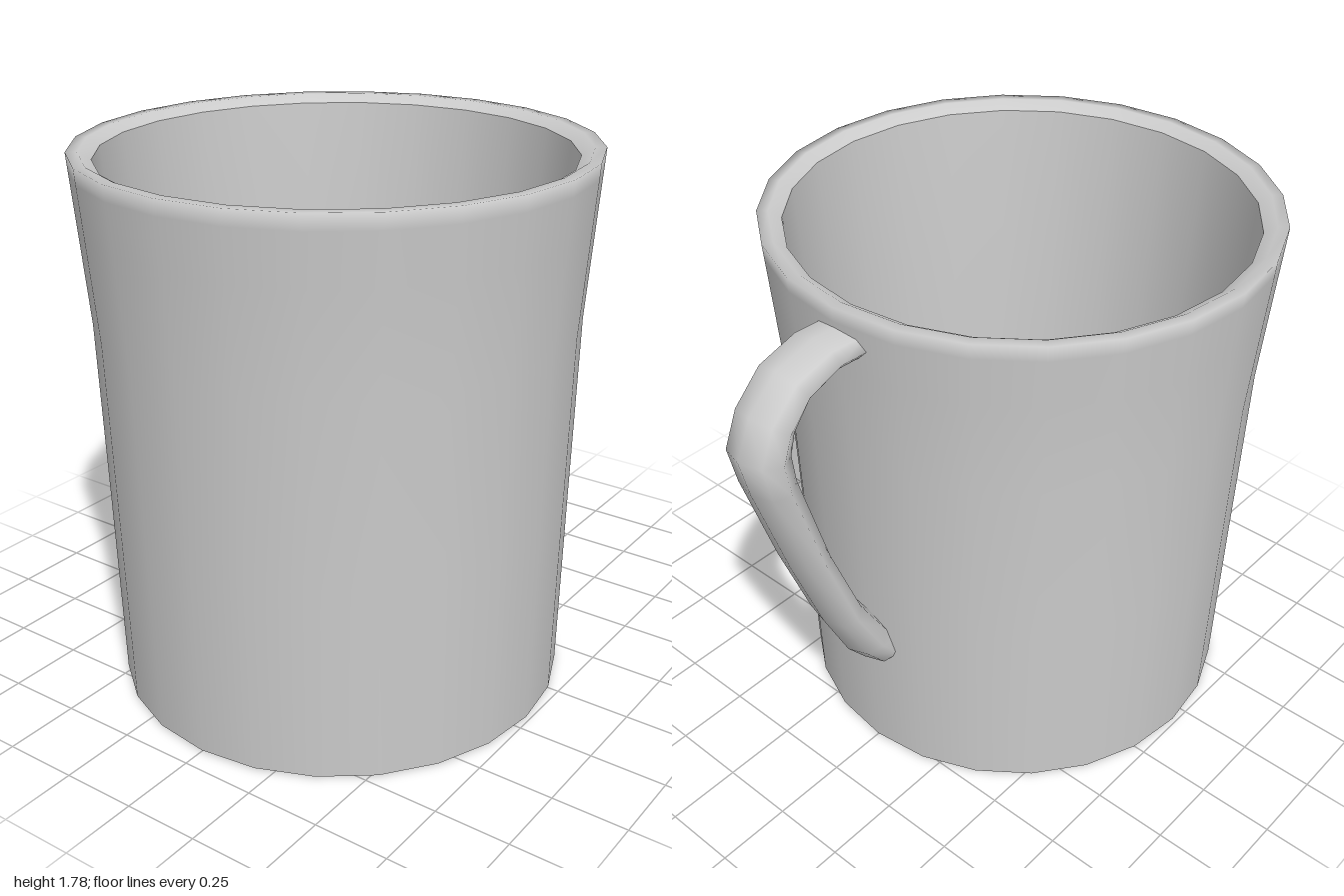
import * as THREE from 'three';

const SIDES = 24;
const CUP_X = -0.19;
const material = new THREE.MeshStandardMaterial({ color: 0xcccccc, side: THREE.DoubleSide });

// Revolve a [radius, height] profile around the cup's axis
function lathe(name, profile) {
  const points = profile.map(([r, y]) => new THREE.Vector2(r, y));
  const mesh = new THREE.Mesh(new THREE.LatheGeometry(points, SIDES), material);
  mesh.name = name;
  mesh.position.x = CUP_X;
  return mesh;
}

// Sweep an elliptical ring along [x, y, half thickness] stations in the xy plane
function sweepHandle(stations, halfWidth, sides) {
  const positions = [], index = [];
  stations.forEach(([x, y, t], i) => {
    const a = stations[Math.max(i - 1, 0)];
    const b = stations[Math.min(i + 1, stations.length - 1)];
    const tangent = new THREE.Vector2(b[0] - a[0], b[1] - a[1]).normalize();
    for (let j = 0; j < sides; j++) {
      const angle = (j / sides) * Math.PI * 2;
      const out = Math.cos(angle) * t;
      positions.push(x - tangent.y * out, y + tangent.x * out, Math.sin(angle) * halfWidth);
      if (i === stations.length - 1) continue;
      const p = i * sides + j, q = i * sides + (j + 1) % sides;
      index.push(p, q, p + sides, q, q + sides, p + sides);
    }
  });
  const geometry = new THREE.BufferGeometry();
  geometry.setAttribute('position', new THREE.Float32BufferAttribute(positions, 3));
  geometry.setIndex(index);
  geometry.computeVertexNormals();
  return geometry;
}

export function createModel() {
  const group = new THREE.Group();
  group.name = 'mug';

  // Outer wall flaring into the rounded rim
  group.add(lathe('outerWallAndRim', [
    [0.737, 0.004], [0.752, 0.65], [0.767, 1.24], [0.793, 1.57],
    [0.806, 1.73], [0.81, 1.78], [0.775, 1.78], [0.735, 1.755],
  ]));

  // Inner wall, set inside the outer one
  group.add(lathe('innerWall', [
    [0.735, 1.755], [0.70, 1.24], [0.685, 0.65], [0.67, 0.08],
  ]));

  // Shallow dished floor, recessed at its edge
  group.add(lathe('floor', [[0.67, 0.08], [0.44, 0.003], [0, 0]]));

  // Handle: short top arm, rounded bend, slanted grip, foot turning into the wall
  const handle = new THREE.Mesh(sweepHandle([
    [0.57, 1.665, 0.045], [0.69, 1.67, 0.045], [0.81, 1.63, 0.055],
    [0.89, 1.545, 0.065], [0.924, 1.455, 0.075], [0.905, 1.345, 0.065],
    [0.80, 1.0, 0.058], [0.692, 0.715, 0.06], [0.595, 0.535, 0.07],
    [0.53, 0.455, 0.07],
  ], 0.105, 8), material);
  handle.name = 'handle';
  group.add(handle);

  return group;
}
